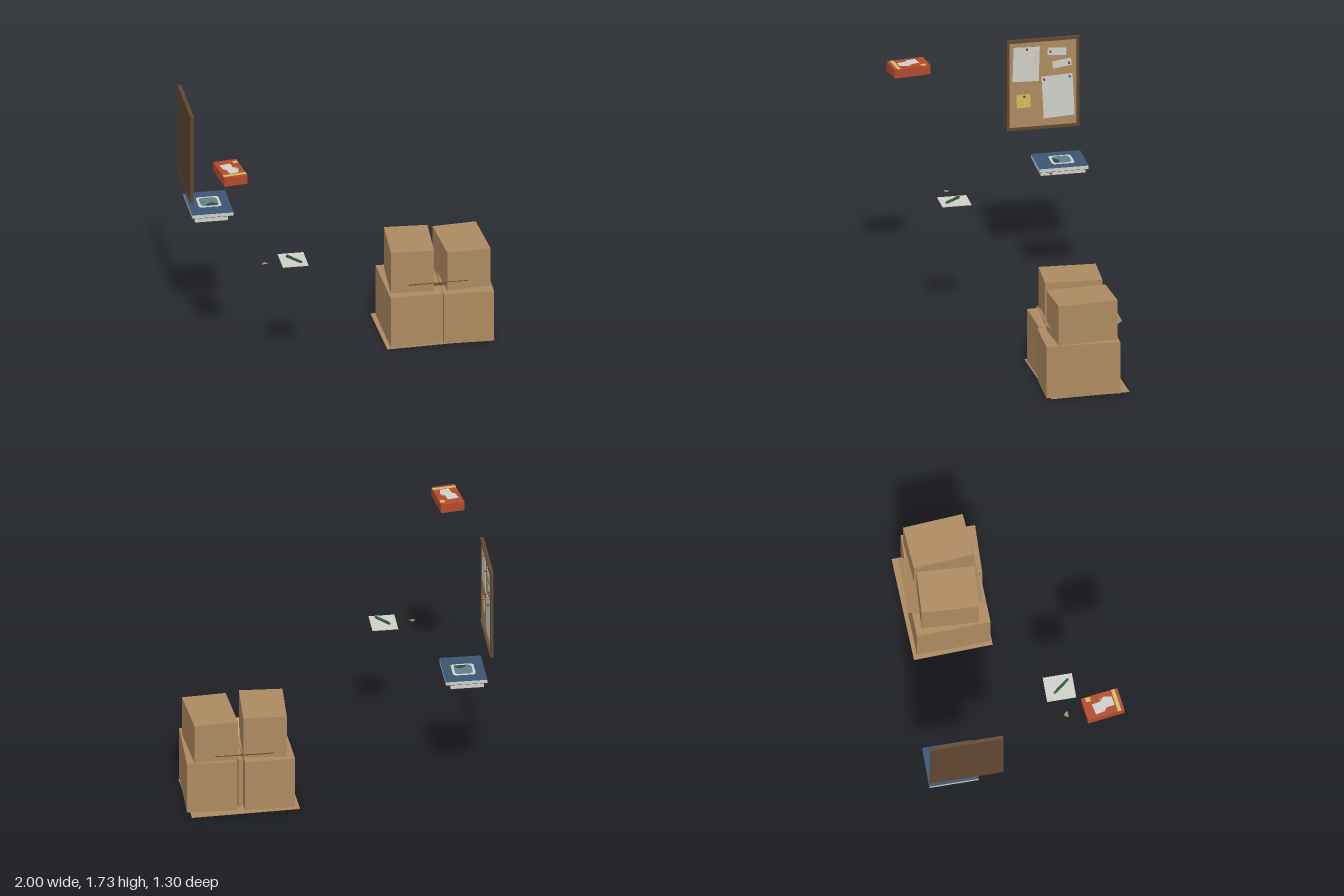
import * as THREE from 'three';

const mat = (name, color, side = THREE.FrontSide) => {
  const m = new THREE.MeshStandardMaterial({ color, side });
  m.name = name;
  return m;
};

export function createModel() {
  const M = {
    cardboard: mat('cardboard', 0xad8a60, THREE.DoubleSide),
    wood: mat('dark wood', 0x5f4831),
    paper: mat('paper', 0xd0d0ca, THREE.DoubleSide),
    yellow: mat('yellow', 0xd0bd62),
    red: mat('brick red', 0xb44a2c),
    pinRed: mat('pin red', 0x8a2a24),
    blue: mat('blue', 0x3a5674),
    slate: mat('slate', 0x637f8a),
    green: mat('dark green', 0x285c3a),
    bottle: mat('bottle green', 0x2a4a40),
  };
  const root = new THREE.Group();
  const group = (name, x = 0, y = 0, z = 0, ry = 0) => {
    const g = new THREE.Group();
    g.name = name;
    g.position.set(x, y, z);
    g.rotation.y = ry;
    root.add(g);
    return g;
  };
  const add = (parent, name, geo, m, x, y, z) => {
    const mesh = new THREE.Mesh(geo, m);
    mesh.name = name;
    mesh.position.set(x, y, z);
    parent.add(mesh);
    return mesh;
  };
  const box = (parent, name, m, w, h, d, x, y, z) =>
    add(parent, name, new THREE.BoxGeometry(w, h, d), m, x, y, z);
  // flat outline lying on a horizontal surface, points given as [x, z]
  const flat = (parent, name, m, pts, y) => {
    const shape = new THREE.Shape(pts.map(([x, z]) => new THREE.Vector2(x, -z)));
    return add(parent, name, new THREE.ShapeGeometry(shape).rotateX(-Math.PI / 2), m, 0, y, 0);
  };
  const roundRect = (w, h, r) => {
    const s = new THREE.Shape();
    const a = w / 2 - r, b = h / 2 - r;
    s.absarc(a, b, r, 0, Math.PI / 2);
    s.absarc(-a, b, r, Math.PI / 2, Math.PI);
    s.absarc(-a, -b, r, Math.PI, Math.PI * 1.5);
    s.absarc(a, -b, r, Math.PI * 1.5, Math.PI * 2);
    return new THREE.ShapeGeometry(s, 5).rotateX(-Math.PI / 2);
  };

  // Stacked moving boxes: [name, w, h, d, x, base y, z, turn]
  const cartons = group('cardboardBoxes');
  [
    ['lowerLeftBox', 0.33, 0.36, 0.49, 0.46, 0.006, -0.275, 0.03],
    ['lowerRightBox', 0.33, 0.36, 0.49, 0.825, 0.006, -0.26, -0.03],
    ['upperLeftBox', 0.285, 0.294, 0.378, 0.468, 0.366, -0.28, -0.057],
    ['upperRightBox', 0.29, 0.275, 0.4, 0.816, 0.366, -0.283, 0.07],
    ['gapFiller', 0.03, 0.35, 0.42, 0.641, 0.01, -0.265, 0],
    ['baseSheet', 0.715, 0.005, 0.525, 0.625, 0, -0.29, 0.035],
  ].forEach(([name, w, h, d, x, y, z, turn]) => {
    box(cartons, name, M.cardboard, w, h, d, x, y + h / 2, z).rotation.y = turn;
  });
  // open flaps sloping up and outward between the two layers
  for (const [name, zIn, zOut] of [['frontFlap', -0.155, -0.055], ['backFlap', -0.435, -0.55]]) {
    const run = zOut - zIn, rise = 0.075;
    const g = new THREE.PlaneGeometry(0.39, Math.hypot(run, rise)).rotateX(-Math.PI / 2);
    const flap = add(cartons, name, g, M.cardboard, 0.625, 0.403, (zIn + zOut) / 2);
    flap.rotation.x = -Math.sign(run) * Math.atan2(rise, Math.abs(run));
  }

  // Notice board on the right-hand wall, facing +x
  const board = group('noticeBoard');
  const zc = -0.4075, yc = 1.415;
  box(board, 'backPanel', M.wood, 0.008, 0.61, 0.465, -0.995, yc, zc);
  box(board, 'cork', M.cardboard, 0.004, 0.6, 0.455, -0.989, yc, zc);
  for (const s of [-1, 1]) {
    box(board, 'frameRail', M.wood, 0.024, 0.018, 0.485, -0.988, yc + s * 0.306, zc);
    box(board, 'frameStile', M.wood, 0.02, 0.595, 0.018, -0.99, yc, zc + s * 0.2335);
  }
  // pinned sheets: [material, width, height, y, z, tilt]
  [
    [M.paper, 0.175, 0.24, 1.557, -0.295, -0.03],
    [M.paper, 0.125, 0.052, 1.632, -0.5, -0.1],
    [M.paper, 0.127, 0.05, 1.546, -0.534, 0.13],
    [M.paper, 0.207, 0.293, 1.32, -0.508, 0.05],
    [M.yellow, 0.093, 0.093, 1.3, -0.278, 0.04],
  ].forEach(([m, w, h, y, z, tilt]) => {
    box(board, 'pinnedSheet', m, 0.002, h, w, -0.985, y, z).rotation.x = tilt;
  });
  for (let i = 0; i < 5; i++)
    box(board, 'yellowMark', M.yellow, 0.001, 0.012, 0.007, -0.9838, 1.635 - i * 0.038, -0.354);
  [
    [1.665, -0.298, M.pinRed], [1.638, -0.454, M.pinRed], [1.55, -0.578, M.pinRed],
    [1.445, -0.413, M.pinRed], [1.454, -0.583, M.blue], [1.335, -0.28, M.pinRed],
  ].forEach(([y, z, m]) => {
    add(board, 'pushPin', new THREE.CylinderGeometry(0.007, 0.005, 0.018, 8), m, -0.976, y, z)
      .rotation.z = -Math.PI / 2;
  });

  // Two stacked books, the larger one on top
  const books = group('bookStack');
  const ux = -0.823, uz = -0.485;
  box(books, 'upperPages', M.paper, 0.272, 0.023, 0.325, ux, 0.9225, uz);
  box(books, 'upperFrontCover', M.blue, 0.273, 0.002, 0.327, ux, 0.935, uz);
  box(books, 'upperBackCover', M.blue, 0.273, 0.002, 0.327, ux, 0.91, uz);
  box(books, 'lowerPages', M.paper, 0.218, 0.035, 0.298, -0.829, 0.8915, uz);
  box(books, 'lowerCover', M.bottle, 0.218, 0.002, 0.298, -0.829, 0.873, uz);
  box(books, 'bookmark', M.pinRed, 0.06, 0.002, 0.015, -0.722, 0.892, -0.4);
  add(books, 'pictureBorder', roundRect(0.15, 0.15, 0.02), M.paper, -0.821, 0.937, -0.495);
  add(books, 'picture', roundRect(0.118, 0.118, 0.028), M.slate, -0.821, 0.938, -0.495);
  flat(books, 'pictureHill', M.bottle, [
    [-0.85, -0.438], [-0.84, -0.46], [-0.815, -0.478], [-0.79, -0.475], [-0.766, -0.455], [-0.772, -0.438],
  ].reverse(), 0.939);

  // Red packet with printed label
  const packet = group('redPacket', -0.856, 1.652, 0.516, 0.129);
  box(packet, 'packetBody', M.red, 0.157, 0.062, 0.248, 0, 0, 0);
  box(packet, 'yellowStripe', M.yellow, 0.157, 0.002, 0.024, 0, 0.0315, 0.092);
  box(packet, 'yellowBadge', M.yellow, 0.03, 0.002, 0.032, 0.058, 0.0315, -0.082);
  flat(packet, 'paperLabel', M.paper, [
    [-0.056, -0.062], [0.018, -0.068], [0.022, -0.01], [0.048, 0.02], [0.034, 0.07],
    [-0.026, 0.074], [-0.03, 0.014], [-0.05, 0.0],
  ].reverse(), 0.0325);
  flat(packet, 'brownPatch', M.cardboard, [
    [0.022, -0.01], [0.044, -0.012], [0.048, 0.02],
  ].reverse(), 0.0326);

  // Notepad and pen
  const pad = group('notepad');
  box(pad, 'sheet', M.paper, 0.17, 0.005, 0.193, -0.404, 0.8735, 0.308);
  const pen = group('pen', -0.4, 0.886, 0.32, Math.atan2(0.08, 0.102));
  add(pen, 'penBarrel', new THREE.CylinderGeometry(0.009, 0.009, 0.115, 8).rotateX(Math.PI / 2), M.green, 0, 0, 0);
  for (const s of [-1, 1])
    add(pen, 'penEnd', new THREE.CylinderGeometry(0.006, 0.009, 0.01, 8).rotateX(s * Math.PI / 2), M.bottle, 0, 0, s * 0.0625);
  box(pen, 'penClip', M.green, 0.004, 0.004, 0.045, 0, 0.0095, -0.035);

  // Loose scrap beside the notepad
  flat(root, 'cardScrap', M.cardboard, [
    [-0.613, 0.333], [-0.575, 0.333], [-0.576, 0.322], [-0.594, 0.302], [-0.614, 0.322],
  ], 0.872);

  return root;
}
